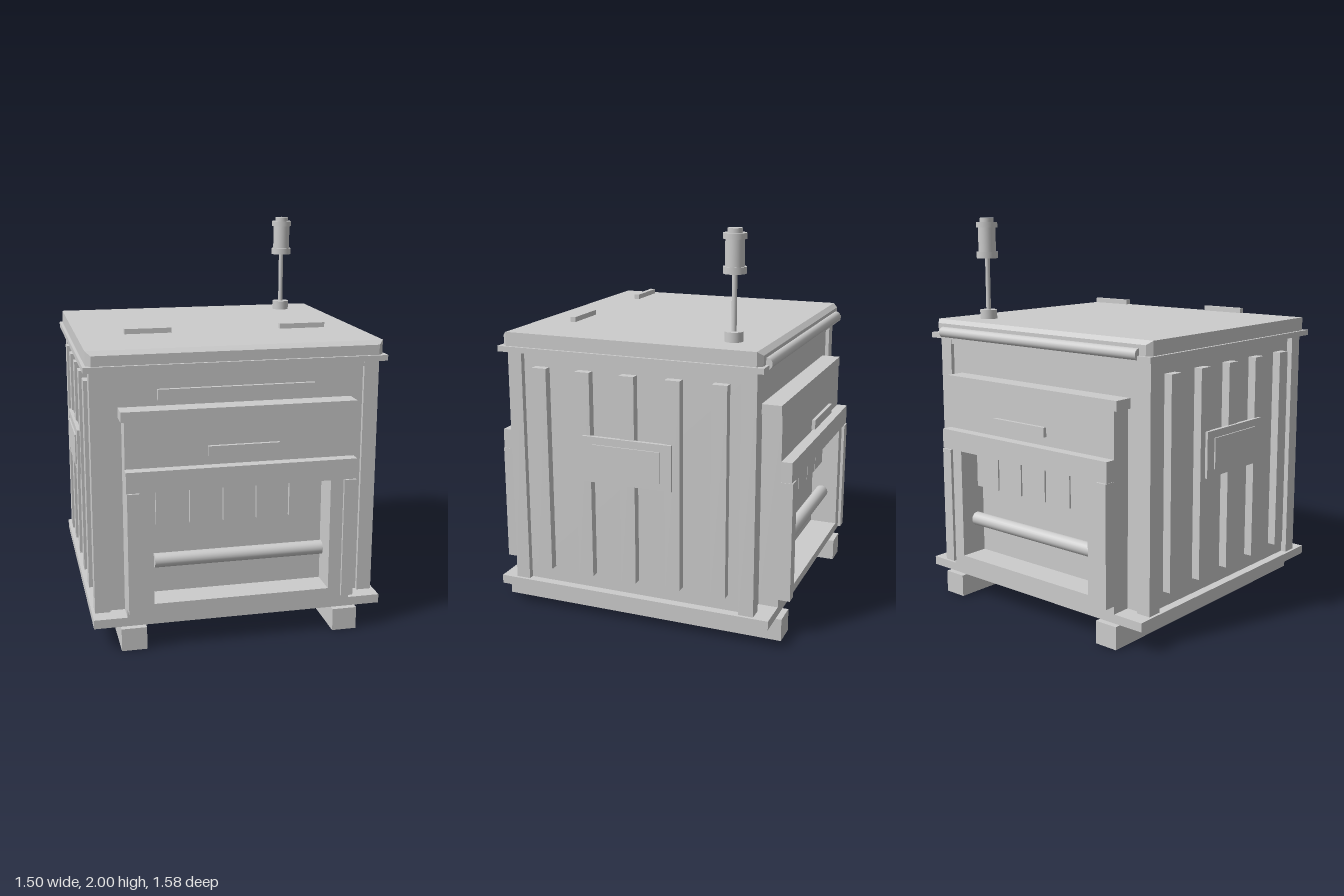
import * as THREE from 'three';

const grey = new THREE.MeshStandardMaterial({ color: 0xcccccc });
grey.name = 'light grey metal';

function add(parent, name, geometry, x = 0, y = 0, z = 0) {
  const mesh = new THREE.Mesh(geometry, grey);
  mesh.name = name;
  mesh.position.set(x, y, z);
  parent.add(mesh);
  return mesh;
}

// Box given by its limits on each axis
function box(parent, name, x0, x1, y0, y1, z0, z1) {
  return add(parent, name, new THREE.BoxGeometry(x1 - x0, y1 - y0, z1 - z0),
    (x0 + x1) / 2, (y0 + y1) / 2, (z0 + z1) / 2);
}

// Upright cylinder given by its bottom and top
function post(parent, name, r, y0, y1, x, z) {
  return add(parent, name, new THREE.CylinderGeometry(r, r, y1 - y0, 28), x, (y0 + y1) / 2, z);
}

// Cylinder lying along x
function roll(parent, name, r, length, y, z) {
  const geometry = new THREE.CylinderGeometry(r, r, length, 24).rotateZ(Math.PI / 2);
  return add(parent, name, geometry, 0, y, z);
}

// Upright plate with a rectangular opening
function framePlate(parent, name, w, y0, y1, holeW, h0, h1, z0, z1) {
  const rect = (Type, hw, a, b) => {
    const s = new Type();
    s.moveTo(-hw, a); s.lineTo(hw, a); s.lineTo(hw, b); s.lineTo(-hw, b); s.closePath();
    return s;
  };
  const shape = rect(THREE.Shape, w, y0, y1);
  shape.holes.push(rect(THREE.Path, holeW, h0, h1));
  const geometry = new THREE.ExtrudeGeometry(shape, { depth: z1 - z0, bevelEnabled: false });
  return add(parent, name, geometry, 0, 0, z0);
}

// Lid lip: a box whose outer face is narrower and lower
function lidLip() {
  const g = new THREE.BoxGeometry(1.46, 0.07, 0.025).toNonIndexed();
  const p = g.attributes.position;
  for (let i = 0; i < p.count; i++) {
    if (p.getZ(i) > 0) {
      p.setX(i, p.getX(i) * 0.966);
      if (p.getY(i) > 0) p.setY(i, 0.015);
    }
  }
  g.computeVertexNormals();
  return g;
}

// One end of the cabinet, built facing +z
function cabinetEnd(name) {
  const end = new THREE.Group();
  end.name = name;
  box(end, 'topRail', -0.64, 0.64, 1.34, 1.37, 0.62, 0.645);
  framePlate(end, 'doorPanel', 0.565, 0.16, 1.14, 0.44, 0.24, 0.81, 0.63, 0.73);
  box(end, 'doorHood', -0.58, 0.58, 1.14, 1.19, 0.63, 0.73);

  // Opening surround
  box(end, 'header', -0.568, 0.568, 0.81, 0.913, 0.73, 0.785);
  framePlate(end, 'openingFrame', 0.505, 0.2, 0.815, 0.44, 0.24, 0.809, 0.73, 0.775);
  for (const s of [-1, 1]) {
    box(end, 'jamb', s * 0.535 - 0.03, s * 0.535 + 0.03, 0.2, 0.808, 0.73, 0.79);
  }
  box(end, 'openingLintel', -0.44, 0.44, 0.795, 0.81, 0.64, 0.73);

  // Hanging flaps and roller
  for (let i = -2; i <= 2; i++) {
    const x = i * 0.167;
    box(end, 'flap', x - 0.079, x + 0.079, 0.61, 0.79, 0.67, 0.69);
  }
  roll(end, 'roller', 0.035, 0.85, 0.43, 0.69);
  box(end, 'doorHandle', -0.175, 0.175, 0.972, 1.02, 0.772, 0.79);

  // Lid lip
  add(end, 'lidLip', lidLip(), 0, 1.435, 0.6625);
  return end;
}

export function createModel() {
  const model = new THREE.Group();
  model.name = 'cabinet';

  // Skids, base and body
  for (const s of [-1, 1]) {
    box(model, 'skid', s * 0.5375 - 0.0625, s * 0.5375 + 0.0625, 0, 0.115, -0.76, 0.76);
  }
  box(model, 'basePlate', -0.73, 0.73, 0.115, 0.16, -0.73, 0.73);
  box(model, 'body', -0.685, 0.685, 0.16, 1.37, -0.63, 0.63);

  // Corner posts
  for (const sx of [-1, 1]) for (const sz of [-1, 1]) {
    box(model, 'cornerPost', sx * 0.6775 - 0.0375, sx * 0.6775 + 0.0375, 0.16, 1.37,
      sz * 0.6125 - 0.0375, sz * 0.6125 + 0.0375);
  }

  // Side ribs and plates
  for (const s of [-1, 1]) {
    const side = new THREE.Group();
    side.name = s > 0 ? 'leftSide' : 'rightSide';
    for (let i = -2; i <= 2; i++) {
      const z = i * 0.236;
      box(side, 'rib', 0.68, 0.728, 0.24, 1.3, z - 0.0385, z + 0.0385);
    }
    box(side, 'sidePlate', 0.722, 0.742, 0.752, 0.985, -0.237, 0.237);
    box(side, 'sidePlateInset', 0.742, 0.749, 0.79, 0.947, -0.18, 0.18);
    if (s < 0) side.rotation.y = Math.PI;
    model.add(side);
  }

  // Both ends share the same door
  const front = cabinetEnd('frontEnd');
  box(front, 'labelPlate', -0.39, 0.39, 1.22, 1.272, 0.63, 0.65);
  const back = cabinetEnd('backEnd');
  back.rotation.y = Math.PI;
  roll(back, 'backRoll', 0.028, 1.335, 1.405, 0.678);
  model.add(front, back);

  // Roof
  box(model, 'roofFlange', -0.745, 0.745, 1.372, 1.4, -0.69, 0.69);
  box(model, 'lid', -0.73, 0.73, 1.4, 1.47, -0.65, 0.65);
  for (const s of [-1, 1]) {
    box(model, 'roofHandle', s * 0.393 - 0.117, s * 0.393 + 0.117, 1.5, 1.525, 0.375, 0.403);
  }

  // Signal mast
  const mast = new THREE.Group();
  mast.name = 'signalMast';
  mast.position.set(0.532, 0, -0.473);
  const parts = [
    ['mastBase', 0.045, 1.465, 1.518], ['mastRod', 0.0125, 1.518, 1.8],
    ['lampLowerRing', 0.056, 1.79, 1.823], ['lampBody', 0.046, 1.823, 1.95],
    ['lampUpperRing', 0.056, 1.95, 1.978], ['lampCap', 0.036, 1.978, 2],
  ];
  for (const [name, r, y0, y1] of parts) post(mast, name, r, y0, y1, 0, 0);
  model.add(mast);

  return model;
}
